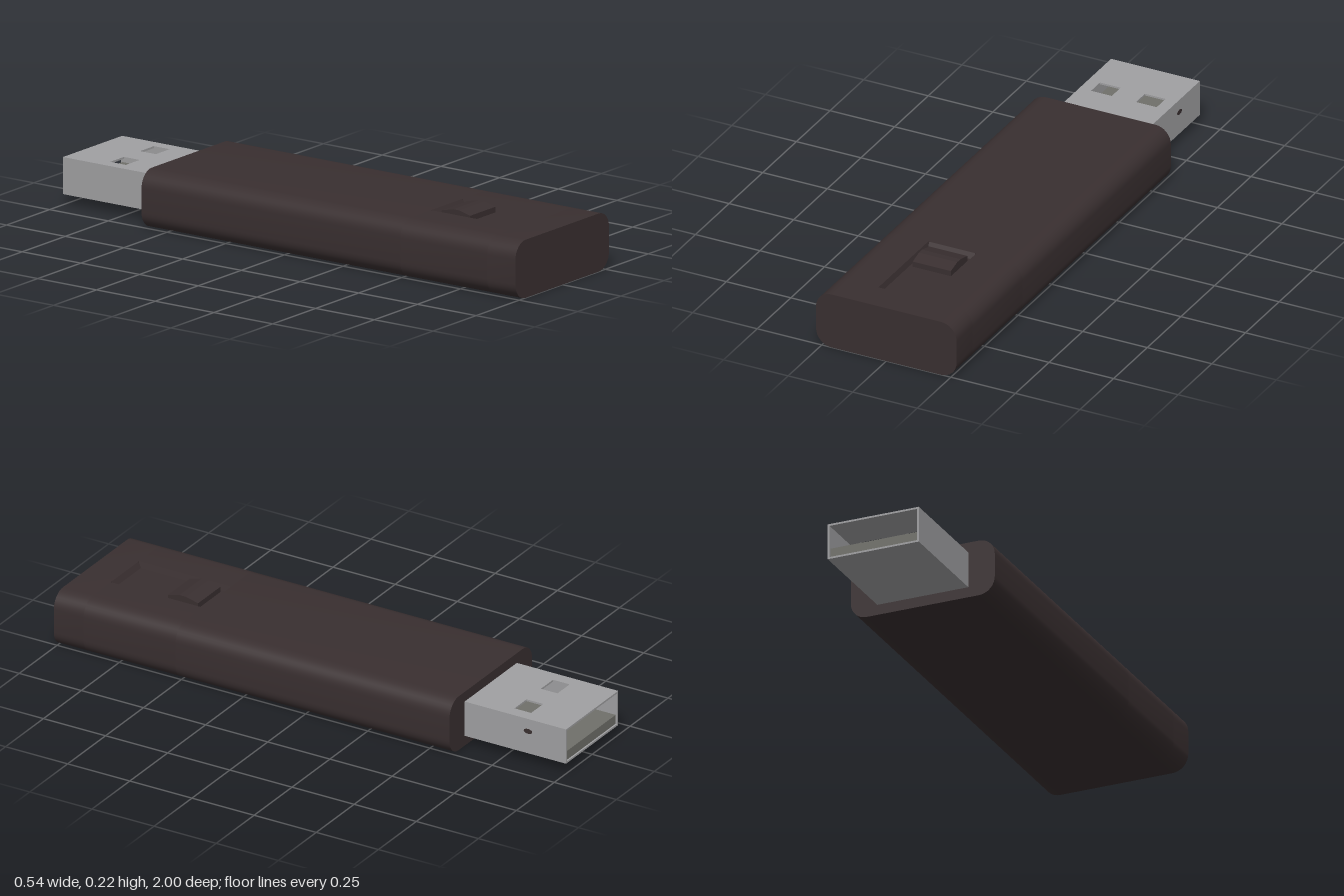
import * as THREE from 'three';
import { mergeGeometries, toCreasedNormals } from 'three/addons/utils/BufferGeometryUtils.js';

const plastic = new THREE.MeshStandardMaterial({ color: 0x392f30 });
plastic.name = 'darkPlastic';
const metal = new THREE.MeshStandardMaterial({ color: 0xa0a0a2 });
metal.name = 'connectorMetal';
const insulator = new THREE.MeshStandardMaterial({ color: 0x70706a });
insulator.name = 'greyInsulator';

const W = 0.272, H = 0.207, R = 0.06;   // body half width, height, corner radius
const FLOOR = 0.187;                    // recess floor height
const SLOT = { x: 0.093, z0: 0.51, z1: 0.88, slope: 0.012 };

function add(parent, name, geometry, material, x = 0, y = 0, z = 0) {
  const mesh = new THREE.Mesh(geometry, material);
  mesh.name = name;
  mesh.position.set(x, y, z);
  parent.add(mesh);
  return mesh;
}

// Rounded body section between two z values, optionally notched along the top
function bodySection(z0, z1, notched) {
  const s = new THREE.Shape();
  s.moveTo(-W + R, 0);
  s.lineTo(W - R, 0);
  s.absarc(W - R, R, R, -Math.PI / 2, 0);
  s.absarc(W - R, H - R, R, 0, Math.PI / 2);
  if (notched) {
    s.lineTo(SLOT.x, H);
    s.lineTo(SLOT.x - 0.007, FLOOR);
    s.lineTo(-SLOT.x + 0.007, FLOOR);
    s.lineTo(-SLOT.x, H);
  }
  s.absarc(-W + R, H - R, R, Math.PI / 2, Math.PI);
  s.absarc(-W + R, R, R, Math.PI, Math.PI * 1.5);
  const g = new THREE.ExtrudeGeometry(s, { depth: z1 - z0, bevelEnabled: false, curveSegments: 4 });
  g.translate(0, 0, z0);
  return toCreasedNormals(g, 0.6);
}

// Extrude a (z, y) outline across x
function acrossX(points, width) {
  const s = new THREE.Shape(points.map(([z, y]) => new THREE.Vector2(z, y)));
  const g = new THREE.ExtrudeGeometry(s, { depth: width, bevelEnabled: false });
  g.rotateY(-Math.PI / 2);
  g.translate(width / 2, 0, 0);
  return g;
}

export function createModel() {
  const model = new THREE.Group();
  model.name = 'usbStick';

  // Case with a recess in its top
  add(model, 'case', mergeGeometries([
    bodySection(-0.592, SLOT.z0, false),
    bodySection(SLOT.z0, SLOT.z1, true),
    bodySection(SLOT.z1, 1, false),
  ]), plastic);

  // Sloped ends of the recess
  const { z0, z1, slope } = SLOT;
  const rampWidth = 2 * SLOT.x - 0.008;
  add(model, 'recessRearSlope', acrossX([[z0, FLOOR], [z0 + slope, FLOOR], [z0, H]], rampWidth), plastic);
  add(model, 'recessFrontSlope', acrossX([[z1 - slope, FLOOR], [z1, FLOOR], [z1, H]], rampWidth), plastic);

  // Slider button with a raised crest
  add(model, 'sliderButton', acrossX([
    [0.54, FLOOR - 0.005], [0.662, FLOOR - 0.005], [0.662, 0.207],
    [0.615, 0.219], [0.59, 0.219], [0.54, 0.207],
  ], 0.148), plastic);

  // Hollow connector shell
  const shell = new THREE.Group();
  shell.name = 'connectorShell';
  model.add(shell);
  const cw = 0.172, y0 = 0.038, y1 = 0.17, t = 0.007, back = -1, root = -0.585;
  const length = root - back, mid = (root + back) / 2;

  // Top plate with two contact windows
  const plate = new THREE.Shape();
  plate.moveTo(-cw, -root).lineTo(cw, -root).lineTo(cw, -back).lineTo(-cw, -back).closePath();
  for (const side of [-1, 1]) {
    const cx = side * 0.087, h = new THREE.Path();
    h.moveTo(cx - 0.04, 0.765).lineTo(cx - 0.04, 0.832).lineTo(cx + 0.04, 0.832).lineTo(cx + 0.04, 0.765).closePath();
    plate.holes.push(h);
  }
  const top = new THREE.ExtrudeGeometry(plate, { depth: t, bevelEnabled: false });
  top.rotateX(-Math.PI / 2);
  add(shell, 'shellTop', top, metal, 0, y1 - t, 0);
  add(shell, 'shellBottom', new THREE.BoxGeometry(2 * cw, t, length), metal, 0, y0 + t / 2, mid);
  for (const side of [-1, 1]) {
    add(shell, side > 0 ? 'shellLeftWall' : 'shellRightWall',
      new THREE.BoxGeometry(t, y1 - y0 - 2 * t, length), metal,
      side * (cw - t / 2), (y0 + y1) / 2, mid);
  }

  // Insulating tongue in the lower part of the shell
  add(model, 'connectorTongue', new THREE.BoxGeometry(2 * (cw - t), 0.034, length - 0.006),
    insulator, 0, y0 + t + 0.017, mid + 0.003);

  // Small oval pin through the left wall
  const pin = new THREE.CylinderGeometry(0.009, 0.009, 0.03, 12);
  pin.rotateZ(Math.PI / 2);
  pin.scale(1, 1, 1.9);
  add(model, 'sidePin', pin, plastic, cw - 0.0135, 0.123, -0.847);

  return model;
}
